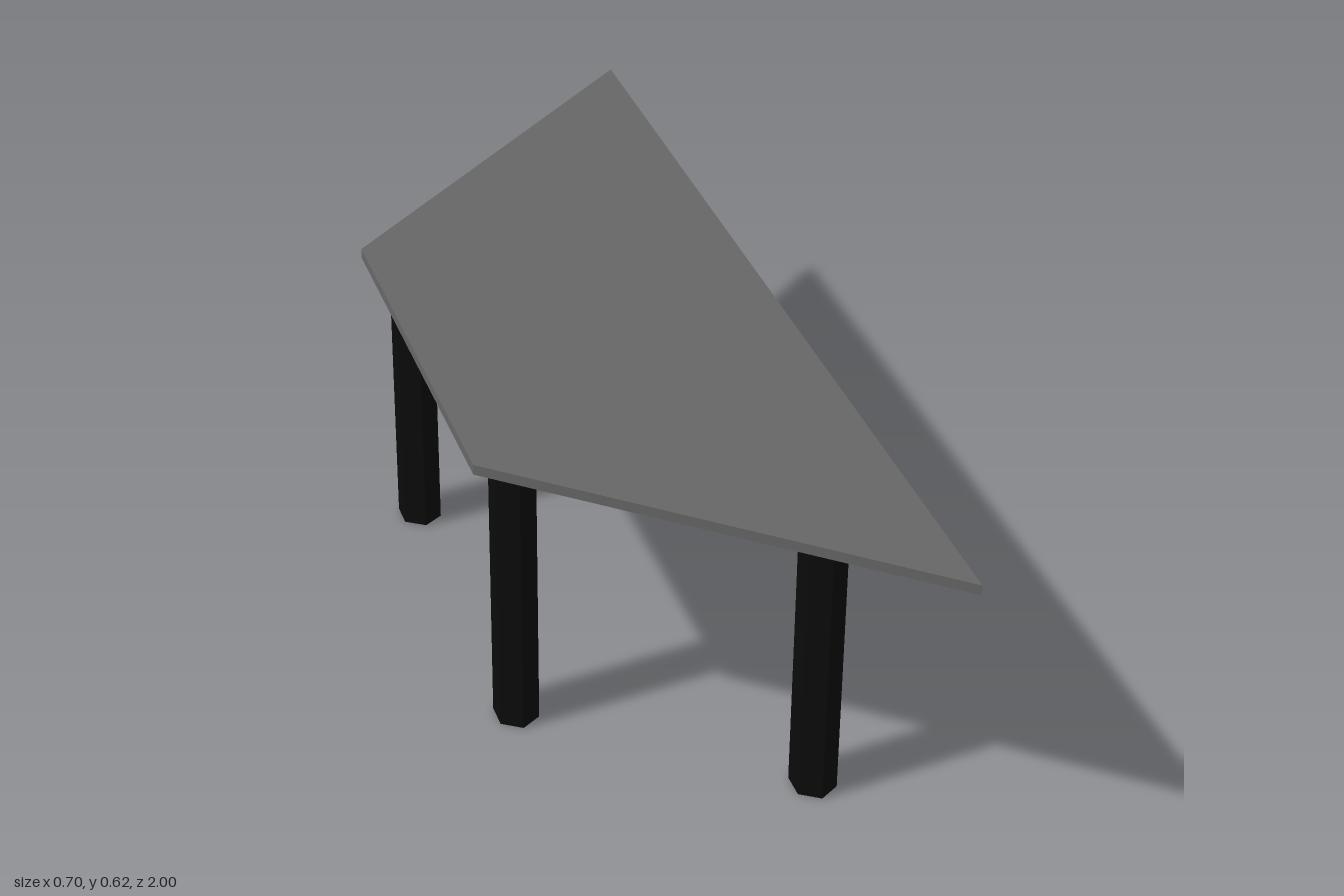
import * as THREE from 'three';

export function createModel() {
  const model = new THREE.Group();
  model.name = 'trapezoidTable';

  const topMaterial = new THREE.MeshStandardMaterial({ color: 0x666666 });
  const legMaterial = new THREE.MeshStandardMaterial({ color: 0x0b0b0b, flatShading: true });

  const legHeight = 0.6;
  const topThickness = 0.02;

  // Thin trapezoid top, long edge on +x
  const outline = new THREE.Shape([
    new THREE.Vector2(0.35, -1),
    new THREE.Vector2(0.35, 1),
    new THREE.Vector2(-0.35, 0.4),
    new THREE.Vector2(-0.35, -0.4),
  ]);
  const topGeometry = new THREE.ExtrudeGeometry(outline, { depth: topThickness, bevelEnabled: false });
  topGeometry.rotateX(-Math.PI / 2);
  const tableTop = new THREE.Mesh(topGeometry, topMaterial);
  tableTop.name = 'tableTop';
  tableTop.position.y = legHeight;
  model.add(tableTop);

  // Six-sided legs, slightly flattened across x
  const legGeometry = new THREE.CylinderGeometry(0.05, 0.05, legHeight, 6);
  legGeometry.scale(0.866, 1, 1);
  const legs = [
    ['longSideFrontLeg', 0.197, 0.682],
    ['longSideBackLeg', 0.197, -0.679],
    ['shortSideFrontLeg', -0.258, 0.322],
    ['shortSideBackLeg', -0.258, -0.378],
  ];
  for (const [name, x, z] of legs) {
    const leg = new THREE.Mesh(legGeometry, legMaterial);
    leg.name = name;
    leg.position.set(x, legHeight / 2, z);
    model.add(leg);
  }

  return model;
}
